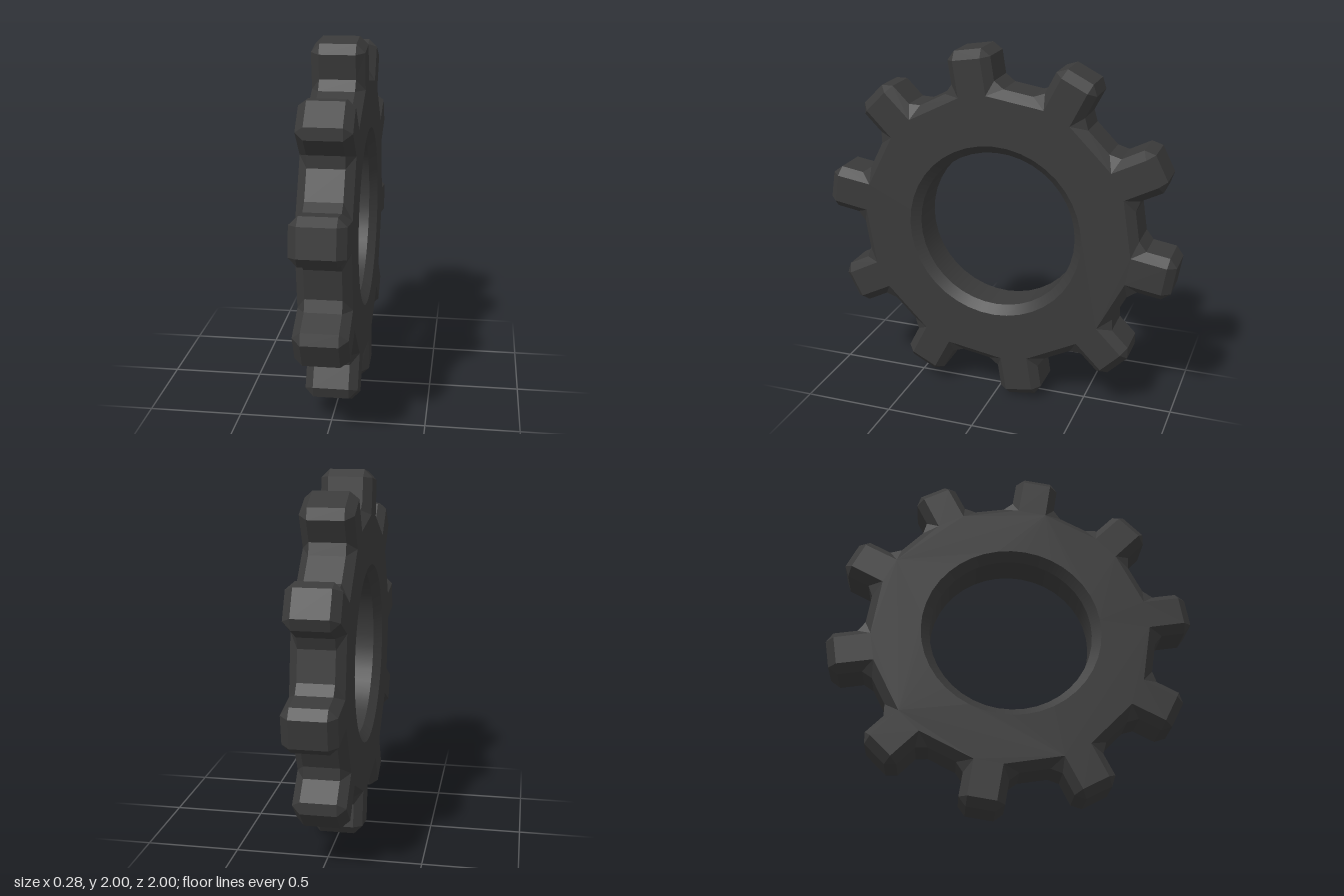
import * as THREE from 'three';

const TEETH = 10;
const TILT = Math.PI / 20; // first tooth leans 9 degrees from straight up
const FACE = 0.14; // half thickness at the flat faces
const RIM = 0.095; // half thickness where the bevel begins
const HOLE = 0.445, HOLE_FACE = 0.492, HOLE_SEGMENTS = 40;

// One tooth as [radius, sideways] pairs: full size, and inset for the flat face
const RIM_TOOTH = [
  [0.777, -0.166], [0.825, -0.121], [0.955, -0.121], [1, -0.076],
  [1, 0.076], [0.955, 0.121], [0.825, 0.121], [0.777, 0.166],
];
const FACE_TOOTH = [[0.758, -0.078], [0.955, -0.077], [0.955, 0.077], [0.758, 0.078]];

// Repeat a tooth around the centre, counter-clockwise
function outline(tooth) {
  const points = [];
  for (let k = 0; k < TEETH; k++) {
    const a = TILT + (k * 2 * Math.PI) / TEETH;
    const s = Math.sin(a), c = Math.cos(a);
    for (const [r, t] of tooth) points.push(new THREE.Vector2(-s * r - c * t, c * r - s * t));
  }
  return points;
}

// Skin stacked loops of equal length with flat facets, dropping empty triangles
function skin(loops) {
  const pos = [];
  const tri = (a, b, c) => {
    if (a.distanceTo(b) > 1e-6 && b.distanceTo(c) > 1e-6 && c.distanceTo(a) > 1e-6) {
      for (const p of [a, b, c]) pos.push(p.x, p.y, p.z);
    }
  };
  for (let k = 0; k + 1 < loops.length; k++) {
    const hi = loops[k], lo = loops[k + 1];
    for (let i = 0; i < hi.length; i++) {
      const j = (i + 1) % hi.length;
      tri(hi[i], lo[i], lo[j]);
      tri(hi[i], lo[j], hi[j]);
    }
  }
  const geo = new THREE.BufferGeometry();
  geo.setAttribute('position', new THREE.Float32BufferAttribute(pos, 3));
  geo.computeVertexNormals();
  return geo;
}

export function createModel() {
  const model = new THREE.Group();
  model.name = 'gear';
  const material = new THREE.MeshStandardMaterial({ color: 0x3a3a3a });
  const add = (name, geo) => {
    geo.rotateY(Math.PI / 2); // gear axis along x
    geo.translate(0, 1, 0);
    const mesh = new THREE.Mesh(geo, material);
    mesh.name = name;
    model.add(mesh);
  };

  // Toothed rim with bevelled edges; each face corner meets two rim corners
  const at = (points, z) => points.map((p) => new THREE.Vector3(p.x, p.y, z));
  const rim = outline(RIM_TOOTH);
  const edge = outline(FACE_TOOTH.flatMap((p) => [p, p]));
  add('toothedRim', skin([at(edge, FACE), at(rim, RIM), at(rim, -RIM), at(edge, -FACE)]));

  // Flat faces with the round hole
  const shape = new THREE.Shape(outline(FACE_TOOTH));
  const circle = [];
  for (let i = 0; i < HOLE_SEGMENTS; i++) {
    const a = (i / HOLE_SEGMENTS) * Math.PI * 2;
    circle.push(new THREE.Vector2(Math.cos(a) * HOLE_FACE, Math.sin(a) * HOLE_FACE));
  }
  shape.holes.push(new THREE.Path(circle));
  add('leftFace', new THREE.ShapeGeometry(shape).translate(0, 0, FACE));
  const back = new THREE.ShapeGeometry(shape).translate(0, 0, -FACE);
  back.index.array.reverse();
  back.computeVertexNormals();
  add('rightFace', back);

  // Smooth bore with a bevel at each end
  const bore = (name, r1, h1, r2, h2) => {
    const profile = [new THREE.Vector2(r1, h1), new THREE.Vector2(r2, h2)];
    add(name, new THREE.LatheGeometry(profile, HOLE_SEGMENTS).rotateX(Math.PI / 2));
  };
  bore('leftBoreBevel', HOLE_FACE, FACE, HOLE, RIM);
  bore('bore', HOLE, RIM, HOLE, -RIM);
  bore('rightBoreBevel', HOLE, -RIM, HOLE_FACE, -FACE);

  return model;
}
